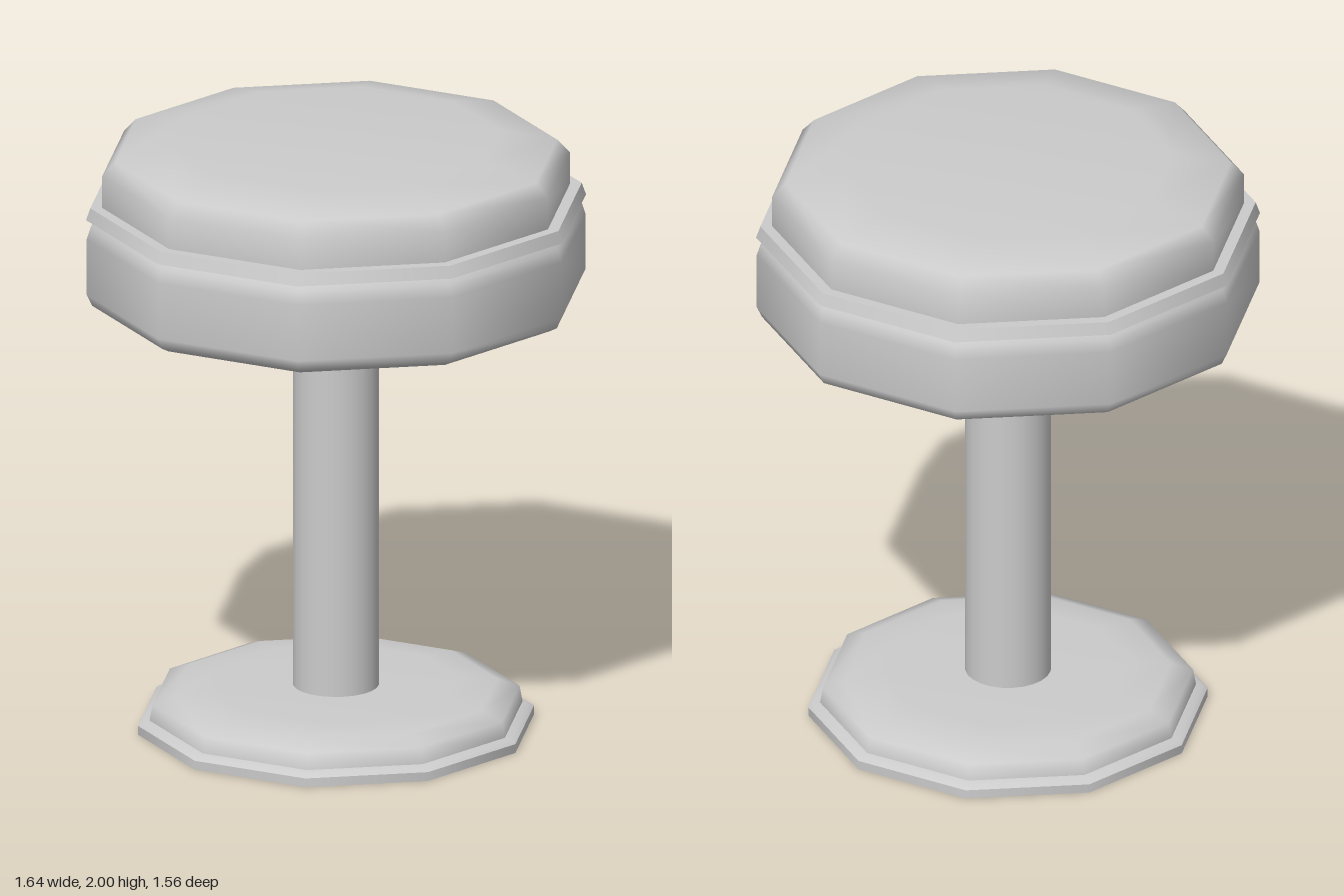
import * as THREE from 'three';
import { mergeGeometries } from 'three/addons/utils/BufferGeometryUtils.js';

const material = new THREE.MeshStandardMaterial({ color: 0xcccccc, side: THREE.DoubleSide });

// Turned part from [radius, height] profiles running upward; edges between profiles stay sharp.
function turned(name, sides, ...profiles) {
  const parts = profiles.map((profile) => new THREE.LatheGeometry(
    profile.map(([r, y]) => new THREE.Vector2(r, y)), sides, Math.PI / 2));
  const mesh = new THREE.Mesh(mergeGeometries(parts), material);
  mesh.name = name;
  return mesh;
}

export function createModel() {
  const stool = new THREE.Group();
  stool.name = 'stool';
  const sides = 10;

  // Hollow foot: thin rim, ledge and domed plate, open underneath
  stool.add(turned('base', sides,
    [[0.65, 0], [0.65, 0.03]],
    [[0.65, 0.03], [0.635, 0.04], [0.612, 0.046]],
    [[0.612, 0.046], [0.602, 0.1], [0.53, 0.127], [0.4, 0.14], [0, 0.14]]));

  // Round post
  stool.add(turned('column', 24, [[0.14, 0.14], [0.14, 1.46]]));

  // Lower drum of the seat with rounded edges and a flat underside
  stool.add(turned('seatBody', sides,
    [[0, 1.456], [0.77, 1.456]],
    [[0.77, 1.456], [0.8, 1.472], [0.818, 1.51], [0.818, 1.7], [0.805, 1.74], [0.785, 1.762]],
    [[0.785, 1.762], [0.74, 1.765]]));

  // Piping between drum and cushion
  stool.add(turned('trimBand', sides,
    [[0.74, 1.765], [0.82, 1.765]],
    [[0.82, 1.765], [0.806, 1.805]],
    [[0.806, 1.805], [0.76, 1.805]]));

  // Padded top
  stool.add(turned('cushion', sides,
    [[0.768, 1.8], [0.768, 1.91], [0.725, 1.957], [0.535, 2], [0, 2]]));

  return stool;
}
